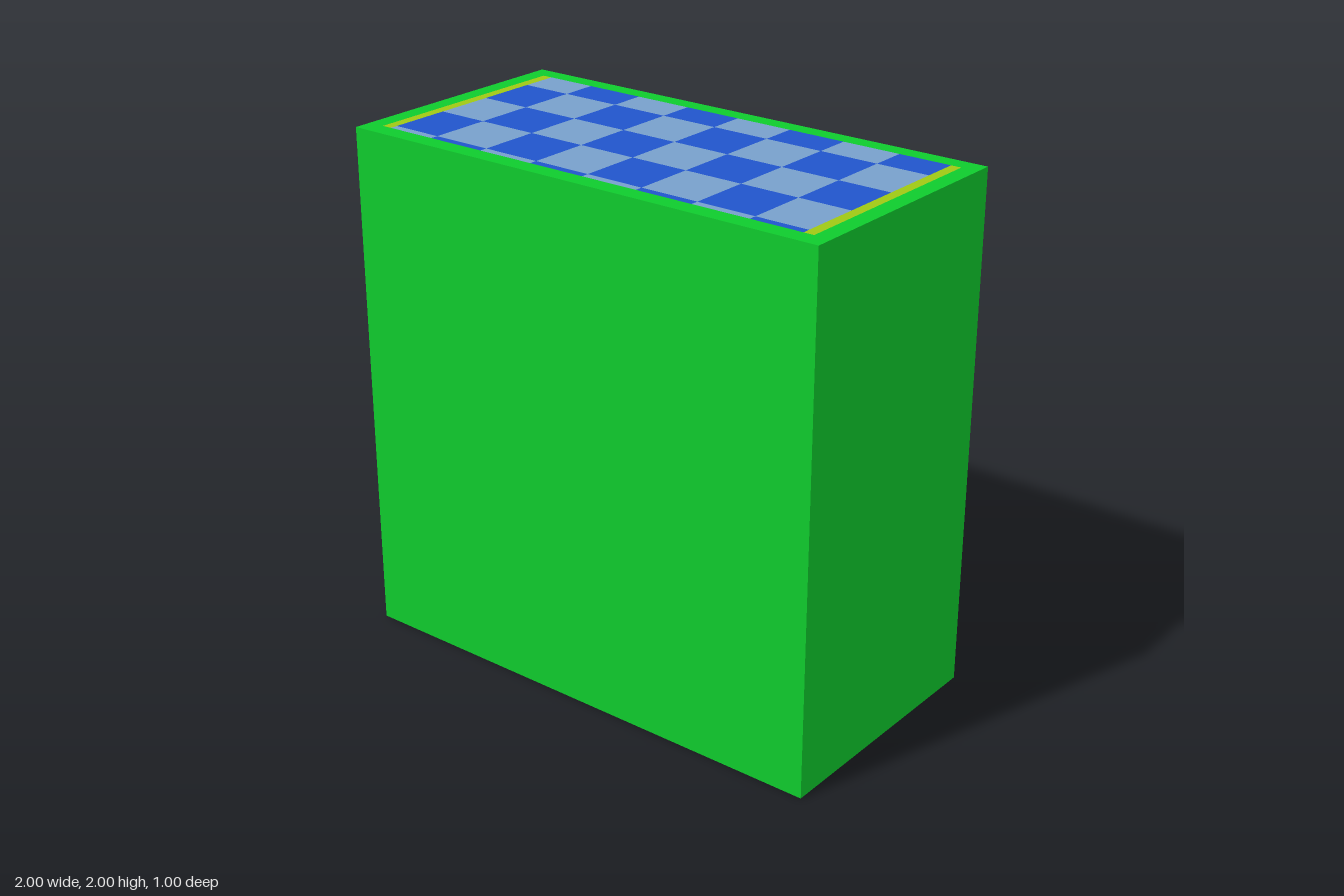
import * as THREE from 'three';
import { mergeGeometries } from 'three/addons/utils/BufferGeometryUtils.js';

const W = 2, H = 2, D = 1;

function makeMaterial(name, color) {
  const m = new THREE.MeshStandardMaterial({ color, side: THREE.DoubleSide });
  m.name = name;
  return m;
}

// Upward-facing flat rectangle at y = 0
function tile(x0, x1, z0, z1) {
  return new THREE.PlaneGeometry(x1 - x0, z1 - z0)
    .rotateX(-Math.PI / 2)
    .translate((x0 + x1) / 2, 0, (z0 + z1) / 2);
}

// Everything left of a W x D sheet outside the inner rectangle
function frame(x, z0, z1) {
  return [
    tile(-W / 2, W / 2, -D / 2, z0),
    tile(-W / 2, W / 2, z1, D / 2),
    tile(-W / 2, -x, z0, z1),
    tile(x, W / 2, z0, z1),
  ];
}

export function createModel() {
  const green = makeMaterial('green', 0x0fcb2d);
  const yellow = makeMaterial('yellowGreen', 0xa0c814);
  const blue = makeMaterial('blue', 0x2054cb);
  const paleBlue = makeMaterial('paleBlue', 0x78a0cb);

  const model = new THREE.Group();
  model.name = 'openBackBox';

  function add(parent, name, geometry, material) {
    const mesh = new THREE.Mesh(geometry, material);
    mesh.name = name;
    parent.add(mesh);
    return mesh;
  }

  // Walls: front and two sides, the back stays open
  add(model, 'frontWall', new THREE.PlaneGeometry(W, H), green).position.set(0, H / 2, D / 2);
  for (const [name, side] of [['leftWall', 1], ['rightWall', -1]]) {
    const wall = add(model, name, new THREE.PlaneGeometry(D, H), green);
    wall.position.set(side * W / 2, H / 2, 0);
    wall.rotation.y = side * Math.PI / 2;
  }

  // Chequered sheet with a yellow edging and a green border
  const xs = [-0.895, -0.695, -0.46, -0.23, 0, 0.23, 0.46, 0.69, 0.895];
  const inner = 0.935, zMin = -0.435, zMax = 0.43;

  function checkeredPanel(name, y, zs, firstRow, frontEdging) {
    const panel = new THREE.Group();
    panel.name = name;
    panel.position.y = y;
    model.add(panel);
    const checks = [[], []];
    for (let r = 0; r < zs.length - 1; r++) {
      for (let c = 0; c < xs.length - 1; c++) {
        checks[(r + c + firstRow) % 2].push(tile(xs[c], xs[c + 1], zs[r], zs[r + 1]));
      }
    }
    const zEnd = zs[zs.length - 1];
    const edging = [
      tile(-inner, xs[0], zMin, zMax),
      tile(xs[xs.length - 1], inner, zMin, zMax),
    ];
    if (frontEdging) edging.push(tile(xs[0], xs[xs.length - 1], zEnd, zMax));
    add(panel, name + 'Border', mergeGeometries(frame(inner, zMin, zMax)), green);
    add(panel, name + 'Edging', mergeGeometries(edging), yellow);
    add(panel, name + 'PaleChecks', mergeGeometries(checks[0]), paleBlue);
    add(panel, name + 'BlueChecks', mergeGeometries(checks[1]), blue);
  }

  checkeredPanel('topPanel', H, [zMin, -0.295, -0.065, 0.165, 0.4, zMax], 0, false);
  // The bottom sheet has its rows mirrored front to back
  checkeredPanel('bottomPanel', 0, [zMin, -0.415, -0.185, 0.045, 0.275, 0.4], 0, true);

  return model;
}
